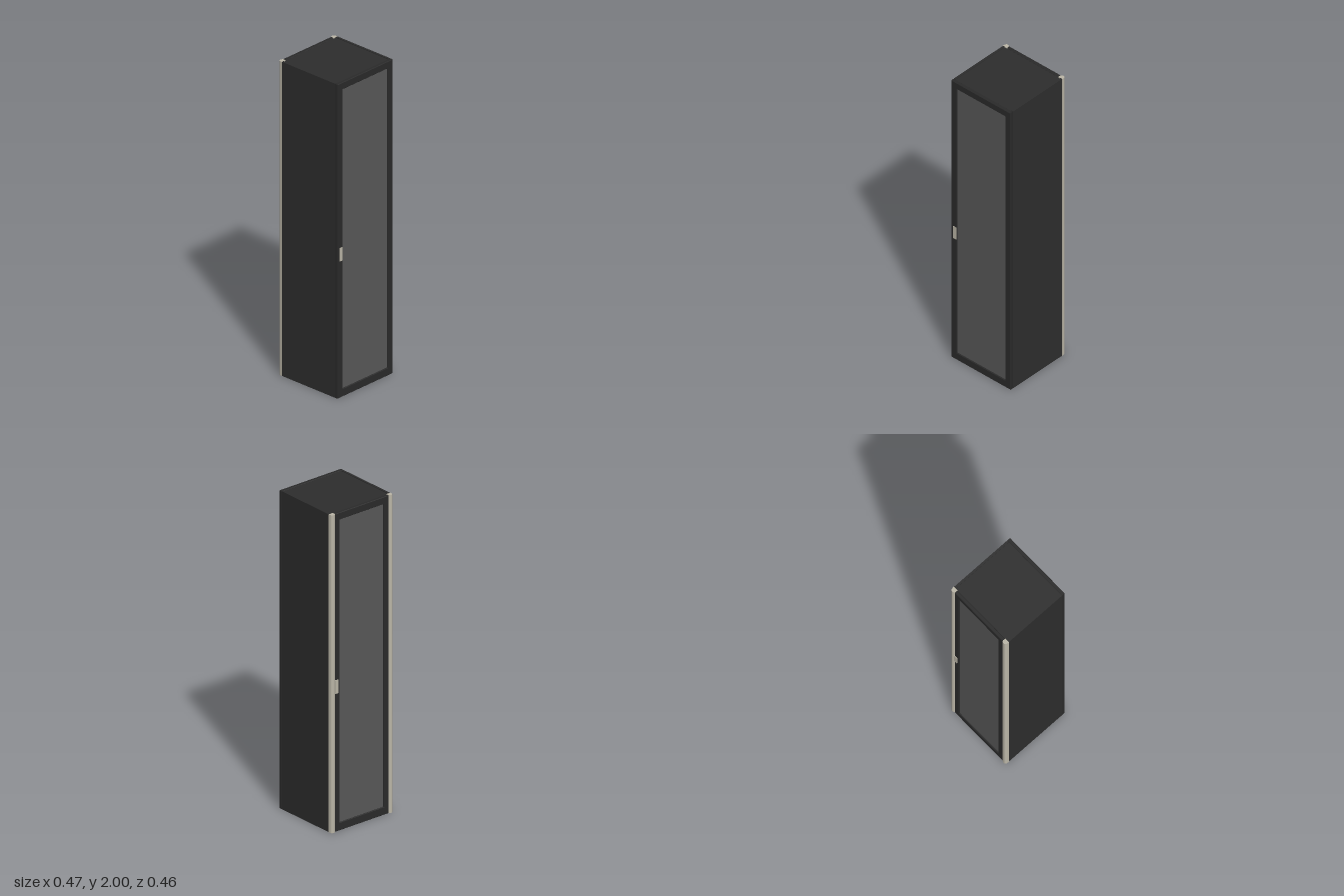
import * as THREE from 'three';

const mat = (name, color) => Object.assign(new THREE.MeshStandardMaterial({ color }), { name });

export function createModel() {
  const panel = mat('charcoal panel', 0x2d2d2d);
  const frame = mat('dark door frame', 0x2a2a2a);
  const glass = mat('grey door glass', 0x585858);
  const trim = mat('warm grey trim', 0xbab5a6);

  const cabinet = new THREE.Group();
  cabinet.name = 'cabinet';

  const add = (parent, name, geometry, material, x = 0, y = 0, z = 0) => {
    const mesh = new THREE.Mesh(geometry, material);
    mesh.name = name;
    mesh.position.set(x, y, z);
    parent.add(mesh);
    return mesh;
  };
  const box = (parent, name, material, w, h, d, x, y, z) =>
    add(parent, name, new THREE.BoxGeometry(w, h, d), material, x, y, z);

  // Open-bottomed shell: two walls and a slightly sunken roof
  const wall = 0.014;
  box(cabinet, 'frontWall', panel, 0.416, 2, wall, 0, 1, 0.23 - wall / 2);
  box(cabinet, 'backWall', panel, 0.416, 2, wall, 0, 1, -0.23 + wall / 2);
  box(cabinet, 'roof', panel, 0.416, 0.014, 0.434, 0, 1.989, 0);

  // Door: bevelled frame with a sunken pane and a pull, facing local +z
  const rect = (Path, w, y0, y1) => {
    const p = new Path();
    p.moveTo(-w, y0);
    p.lineTo(w, y0);
    p.lineTo(w, y1);
    p.lineTo(-w, y1);
    p.closePath();
    return p;
  };
  const addDoor = (name, halfWidth, paneHalf, pullX, faceX, pullDepth) => {
    const door = new THREE.Group();
    door.name = name;
    const shape = rect(THREE.Shape, halfWidth, 0, 2);
    shape.holes.push(rect(THREE.Path, paneHalf, 0.05, 1.955));
    const bevel = 0.003;
    const geometry = new THREE.ExtrudeGeometry(shape, {
      depth: 0.016, bevelEnabled: true, bevelSize: bevel, bevelOffset: -bevel,
      bevelThickness: bevel, bevelSegments: 1,
    });
    add(door, 'doorFrame', geometry, frame, 0, 0, -0.019);
    box(door, 'doorPane', glass, paneHalf * 2 + 0.006, 1.911, 0.008, 0, 1.0025, -0.011);
    box(door, 'doorPull', trim, 0.022, 0.085, 0.006 + pullDepth, pullX, 0.912, (pullDepth - 0.006) / 2);
    door.rotation.y = Math.sign(faceX) * Math.PI / 2;
    door.position.x = faceX;
    cabinet.add(door);
  };
  addDoor('leftDoor', 0.23, 0.188, -0.202, 0.23, 0.003);
  addDoor('rightDoor', 0.2, 0.165, -0.19, -0.23, 0.004);

  // Rounded corner posts beside the right door
  for (const side of [1, -1]) {
    const s = new THREE.Shape();
    s.moveTo(-0.207, 0.2);
    s.lineTo(-0.207, 0.232);
    s.lineTo(-0.217, 0.231);
    s.quadraticCurveTo(-0.234, 0.23, -0.235, 0.217);
    s.quadraticCurveTo(-0.234, 0.205, -0.226, 0.2);
    s.closePath();
    const geometry = new THREE.ExtrudeGeometry(s, { depth: 2, bevelEnabled: false, curveSegments: 6 });
    const post = add(cabinet, side > 0 ? 'frontPost' : 'backPost', geometry, trim);
    // Half-turn about z mirrors the profile while keeping faces outward
    post.rotation.x = side > 0 ? Math.PI / 2 : -Math.PI / 2;
    post.position.y = side > 0 ? 2 : 0;
  }
  return cabinet;
}
